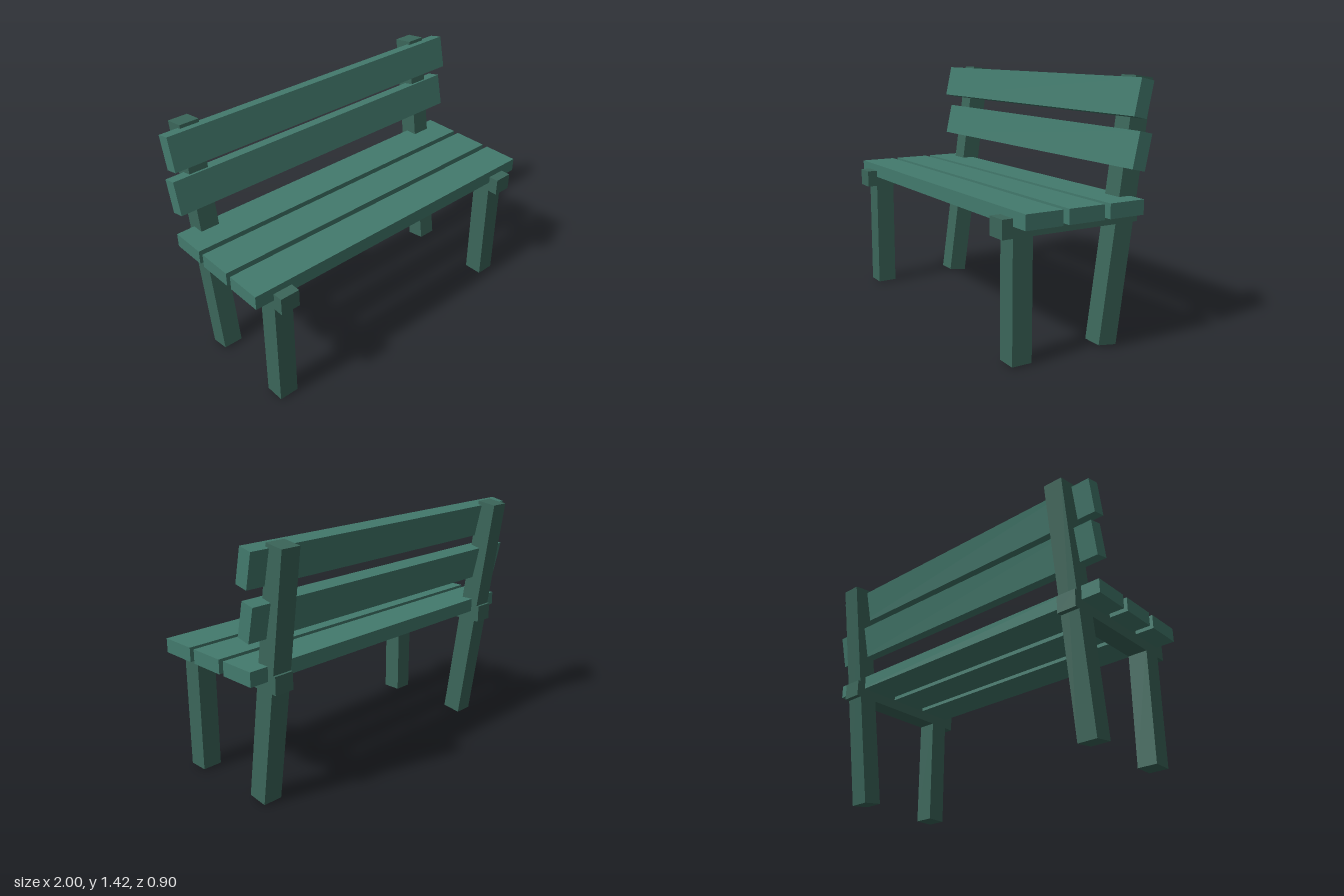
import * as THREE from 'three';

export function createModel() {
  const bench = new THREE.Group();
  bench.name = 'bench';
  const slatMat = new THREE.MeshStandardMaterial({ color: 0x437a6d });
  const frameMat = new THREE.MeshStandardMaterial({ color: 0x3b665a });

  // One timber: size, centre and tilt about x
  function board(name, parent, mat, [w, h, d], [x, y, z], tilt = 0) {
    const mesh = new THREE.Mesh(new THREE.BoxGeometry(w, h, d), mat);
    mesh.name = name;
    mesh.position.set(x, y, z);
    mesh.rotation.x = tilt;
    parent.add(mesh);
  }

  // Two mirrored side frames: upright front leg, leaning back post, seat rail
  for (const side of [1, -1]) {
    const frame = new THREE.Group();
    frame.name = side > 0 ? 'leftFrame' : 'rightFrame';
    const x = side * 0.8325;
    board('frontLeg', frame, frameMat, [0.115, 0.69, 0.115], [x, 0.355, 0.3375]);
    board('backPost', frame, frameMat, [0.115, 1.415, 0.115], [x, 0.711, -0.295], -0.138);
    board('seatRail', frame, frameMat, [0.115, 0.1, 0.83], [x, 0.71, 0.04]);
    bench.add(frame);
  }

  // Three flat seat slats
  for (const z of [0.2875, 0.0375, -0.2125]) {
    board('seatSlat', bench, slatMat, [2, 0.08, 0.215], [0, 0.76, z]);
  }

  // Two tilted backrest slats
  for (const y of [1.045, 1.309]) {
    board('backSlat', bench, slatMat, [2, 0.194, 0.082], [0, y, -0.298], -0.215);
  }

  return bench;
}
